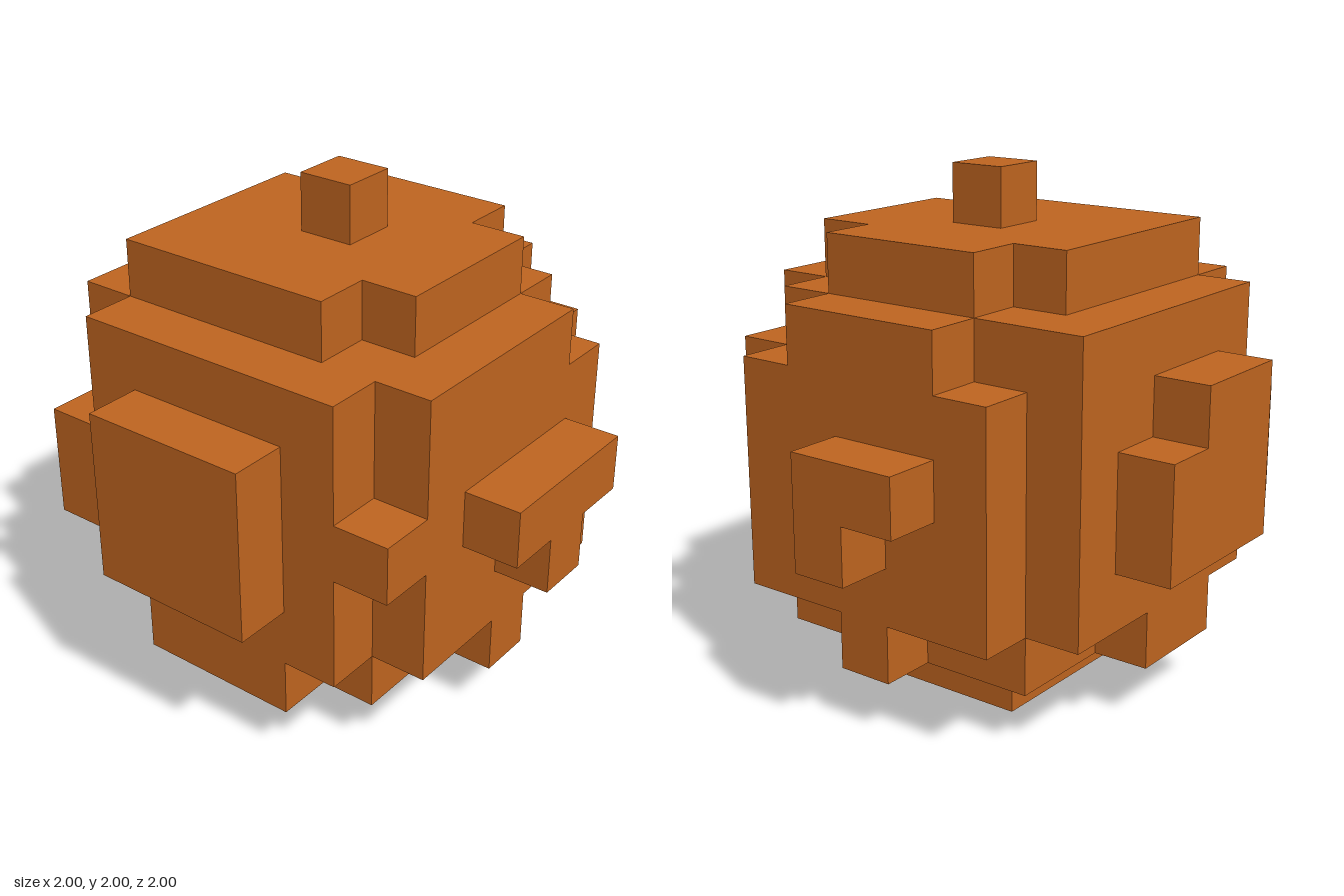
import * as THREE from 'three';

// The model is a ball of cubes on a 9 x 9 x 9 grid.
const CELL = 2 / 9;

// Each part is a list of cell blocks: [x first, x last, y first, y last, z first, z last].
const PARTS = {
  core: [[2, 6, 2, 6, 2, 6]],
  topLayer: [[3, 5, 7, 7, 2, 6], [2, 2, 7, 7, 2, 5], [6, 6, 7, 7, 3, 5]],
  topKnob: [[4, 4, 8, 8, 4, 4]],
  bottomLayer: [[2, 6, 1, 1, 2, 6], [1, 1, 1, 1, 3, 5], [7, 7, 1, 1, 4, 4], [4, 4, 1, 1, 7, 7], [3, 4, 1, 1, 1, 1]],
  foot: [[3, 5, 0, 0, 3, 5]],
  frontLayer: [[2, 6, 2, 5, 7, 7], [2, 5, 6, 6, 7, 7], [1, 1, 4, 4, 7, 7]],
  frontBump: [[3, 5, 4, 4, 8, 8], [4, 4, 3, 3, 8, 8]],
  backLayer: [[2, 6, 2, 6, 1, 1], [1, 1, 3, 4, 1, 1]],
  backBump: [[3, 5, 3, 4, 0, 0], [3, 4, 5, 5, 0, 0]],
  rightLayer: [[1, 1, 2, 6, 2, 6]],
  rightBump: [[0, 0, 3, 5, 3, 5]],
  leftLayer: [[7, 7, 2, 5, 2, 6], [7, 7, 6, 6, 3, 5]],
  leftBump: [[8, 8, 4, 4, 3, 4], [8, 8, 3, 3, 4, 4]],
};

// List every cell of a set of blocks
function cellsOf(blocks) {
  const cells = [];
  for (const [x0, x1, y0, y1, z0, z1] of blocks)
    for (let x = x0; x <= x1; x++)
      for (let y = y0; y <= y1; y++)
        for (let z = z0; z <= z1; z++) cells.push([x, y, z]);
  return cells;
}

// Build only the cube faces that are not covered by a neighbouring cube
function exposedFaces(cells, filled) {
  const positions = [], normals = [], indices = [];
  for (const cell of cells)
    for (let axis = 0; axis < 3; axis++)
      for (const sign of [-1, 1]) {
        const next = [...cell];
        next[axis] += sign;
        if (filled.has(next.join())) continue;
        const u = (axis + 1) % 3, v = (axis + 2) % 3;
        const normal = [0, 0, 0];
        normal[axis] = sign;
        const start = positions.length / 3;
        for (const [a, b] of [[0, 0], [1, 0], [1, 1], [0, 1]]) {
          const p = [...cell];
          p[axis] += sign > 0 ? 1 : 0;
          p[u] += a;
          p[v] += b;
          positions.push(p[0] * CELL - 1, p[1] * CELL, p[2] * CELL - 1);
          normals.push(...normal);
        }
        const order = sign > 0 ? [0, 1, 2, 0, 2, 3] : [0, 2, 1, 0, 3, 2];
        indices.push(...order.map((i) => start + i));
      }
  const geometry = new THREE.BufferGeometry();
  geometry.setAttribute('position', new THREE.Float32BufferAttribute(positions, 3));
  geometry.setAttribute('normal', new THREE.Float32BufferAttribute(normals, 3));
  geometry.setIndex(indices);
  return geometry;
}

export function createModel() {
  const group = new THREE.Group();
  group.name = 'cubeBall';
  const orange = new THREE.MeshStandardMaterial({ color: 0xc06520 });
  orange.name = 'burntOrange';

  const filled = new Set(cellsOf(Object.values(PARTS).flat()).map((c) => c.join()));

  for (const [name, blocks] of Object.entries(PARTS)) {
    const geometry = exposedFaces(cellsOf(blocks), filled);
    if (geometry.index.count === 0) continue;
    const mesh = new THREE.Mesh(geometry, orange);
    mesh.name = name;
    group.add(mesh);
  }
  return group;
}
